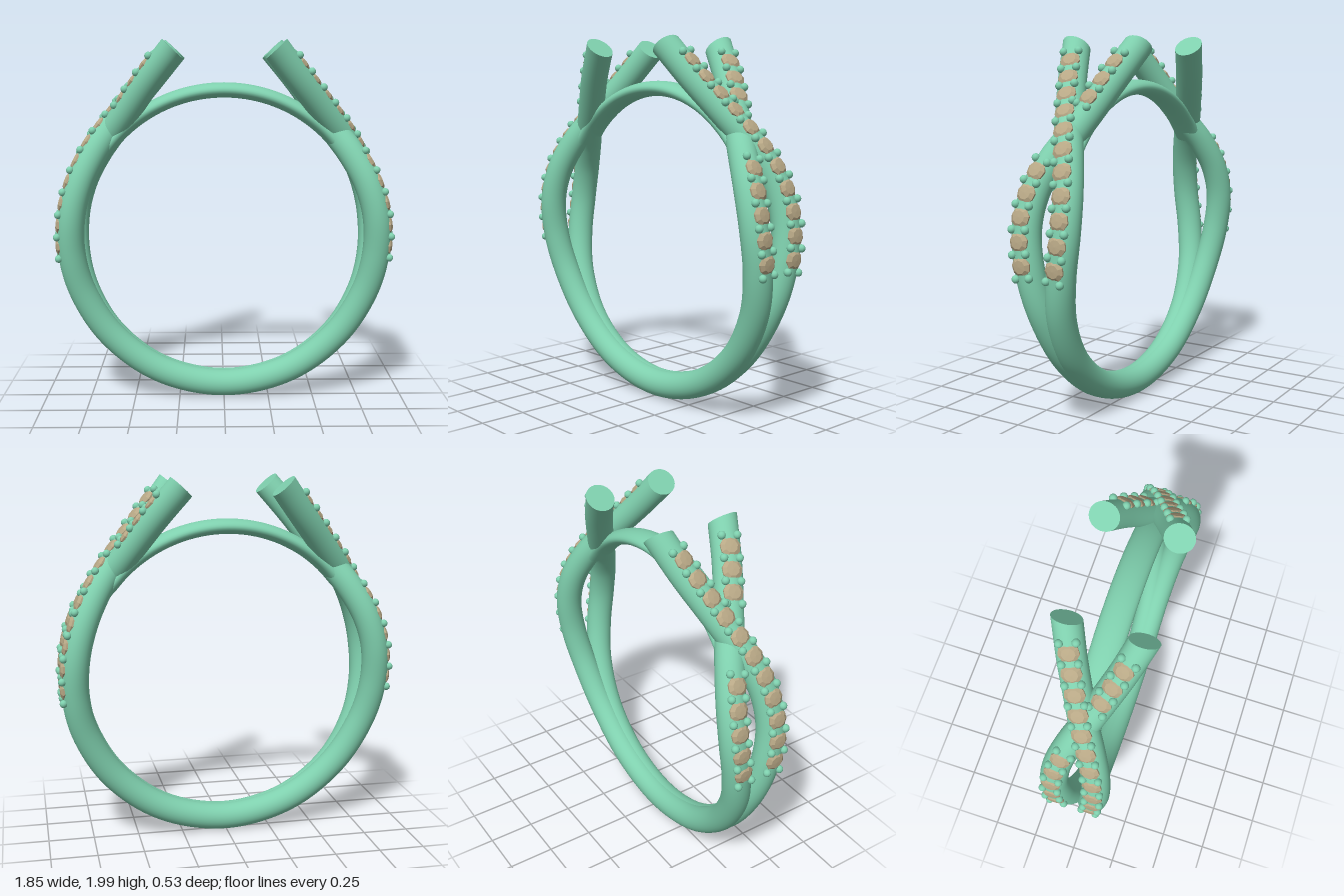
import * as THREE from 'three';

const CY = 0.918;          // height of the ring centre
const TUBE = 0.074;        // strand radius
const green = new THREE.MeshStandardMaterial({ color: 0x7fd0ae });
const tan = new THREE.MeshStandardMaterial({ color: 0xb8a886, flatShading: true });

// point from angle (degrees, 0 = +x side, 90 = top), radius and depth
function polar(deg, r, z) {
  const a = THREE.MathUtils.degToRad(deg);
  return new THREE.Vector3(r * Math.cos(a), CY + r * Math.sin(a), z);
}

// frame on a curve: tangent, outward normal (away from the ring centre), sideways
function frameAt(curve, u) {
  const c = curve.getPointAt(u), t = curve.getTangentAt(u);
  const n = new THREE.Vector3(c.x, c.y - CY, 0).normalize();
  n.addScaledVector(t, -n.dot(t)).normalize();
  return { c, t, n, b: new THREE.Vector3().crossVectors(t, n) };
}

// sweep an ellipse along a curve, ends capped and cut parallel to the z axis
function sweep(curve, rn, rb, steps, sides) {
  const pos = [], index = [];
  const ring = (f, cut) => {
    for (let j = 0; j < sides; j++) {
      const a = (j / sides) * Math.PI * 2;
      const d = f.n.clone().multiplyScalar(rn * Math.cos(a)).addScaledVector(f.b, rb * Math.sin(a));
      if (cut) d.addScaledVector(f.t, -d.dot(cut) / f.t.dot(cut));
      d.add(f.c);
      pos.push(d.x, d.y, d.z);
    }
  };
  const cutPlane = (f) => new THREE.Vector3(f.t.x * 1.15, f.t.y, 0).normalize();
  for (let i = 0; i <= steps; i++) {
    const f = frameAt(curve, i / steps);
    ring(f, i === 0 || i === steps ? cutPlane(f) : null);
    for (let j = 0; j < sides && i < steps; j++) {
      const k = (j + 1) % sides, a = i * sides;
      index.push(a + j, a + k, a + sides + j, a + k, a + sides + k, a + sides + j);
    }
  }
  for (const u of [0, 1]) {
    const f = frameAt(curve, u), base = pos.length / 3;
    ring(f, cutPlane(f));
    pos.push(f.c.x, f.c.y, f.c.z);
    for (let j = 0; j < sides; j++) {
      const k = (j + 1) % sides;
      index.push(base + sides, base + (u ? j : k), base + (u ? k : j));
    }
  }
  const geo = new THREE.BufferGeometry();
  geo.setAttribute('position', new THREE.Float32BufferAttribute(pos, 3));
  geo.setIndex(index);
  geo.computeVertexNormals();
  return geo;
}

// one strand, tip to tip through the bottom; it dips under on +x and passes over on -x
function strandCurve() {
  // angle, radius, depth, lift at the crossing
  const half = [
    [75.2, 1.057, -0.187, 0], [65, 0.948, -0.125, 0], [54.5, 0.88, -0.062, 0.006],
    [43, 0.846, 0.002, 0.01], [34, 0.838, 0.053, 0.008], [22, 0.835, 0.1, 0.003],
    [9, 0.834, 0.114, 0], [-6, 0.834, 0.09, 0], [-22, 0.835, 0.053, 0],
    [-42, 0.838, 0.024, 0], [-65, 0.841, 0.013, 0],
  ];
  const right = half.map(([a, r, z, l]) => polar(a, r - l, z));
  const left = half.map(([a, r, z, l]) => polar(180 - a, r + l, z)).reverse();
  return new THREE.CatmullRomCurve3([...right, polar(-90, 0.842, 0.01), ...left], false, 'centripetal');
}

// first curve position (from the given end) whose height falls below y
function findHeight(curve, y, fromEnd) {
  for (let i = 0; i <= 1000; i++) {
    const u = fromEnd ? 1 - i / 1000 : i / 1000;
    if (curve.getPointAt(u).y < y) return u;
  }
  return 0;
}

const gemGeo = new THREE.LatheGeometry(
  [[0, -0.03], [0.052, -0.004], [0.053, 0.006], [0.034, 0.019], [0, 0.021]]
    .map(([x, y]) => new THREE.Vector2(x, y)), 9);
const prongGeo = new THREE.SphereGeometry(0.021, 12, 8);

// a row of gems with a pair of bead prongs in every gap
function gemRow(curve, over) {
  const row = new THREE.Group();
  row.name = over ? 'overGemRow' : 'underGemRow';
  const top = findHeight(curve, 1.825, over), low = findHeight(curve, 0.89, over);
  const count = 11;
  const at = (k) => frameAt(curve, low + (top - low) * k / (count - 1));
  for (let k = 0; k < count; k++) {
    if (!over && k > 4 && k < 8) continue;   // hidden beneath the other strand
    const f = at(k), gem = new THREE.Mesh(gemGeo, tan);
    gem.name = 'gem';
    gem.quaternion.setFromRotationMatrix(new THREE.Matrix4().makeBasis(f.b, f.n, f.t.clone().negate()));
    gem.quaternion.normalize();
    gem.position.copy(f.c).addScaledVector(f.n, 0.06);
    row.add(gem);
  }
  for (let k = 0; k <= count; k++) {
    if (!over && k > 5 && k < 8) continue;
    const f = at(k - 0.5);
    for (const s of [-1, 1]) {
      const prong = new THREE.Mesh(prongGeo, green);
      prong.name = 'prong';
      prong.position.copy(f.c).addScaledVector(f.n, 0.069).addScaledVector(f.b, s * 0.04);
      row.add(prong);
    }
  }
  return row;
}

export function createModel() {
  const model = new THREE.Group();
  model.name = 'ring';

  // two interwoven strands, the second turned half round
  const curve = strandCurve();
  const strandGeo = sweep(curve, TUBE, TUBE, 180, 32);
  for (let i = 0; i < 2; i++) {
    const group = new THREE.Group();
    group.name = i ? 'backStrand' : 'frontStrand';
    group.rotation.y = i * Math.PI;
    const strand = new THREE.Mesh(strandGeo, green);
    strand.name = 'strand';
    group.add(strand, gemRow(curve, false), gemRow(curve, true));
    model.add(group);
  }

  // flattened bridge closing the top of the band
  const arc = [];
  for (let a = 38; a <= 142; a += 8) arc.push(polar(a, 0.803, 0));
  const bridge = new THREE.Mesh(sweep(new THREE.CatmullRomCurve3(arc), 0.041, 0.08, 48, 28), green);
  bridge.name = 'bridge';
  model.add(bridge);

  return model;
}
